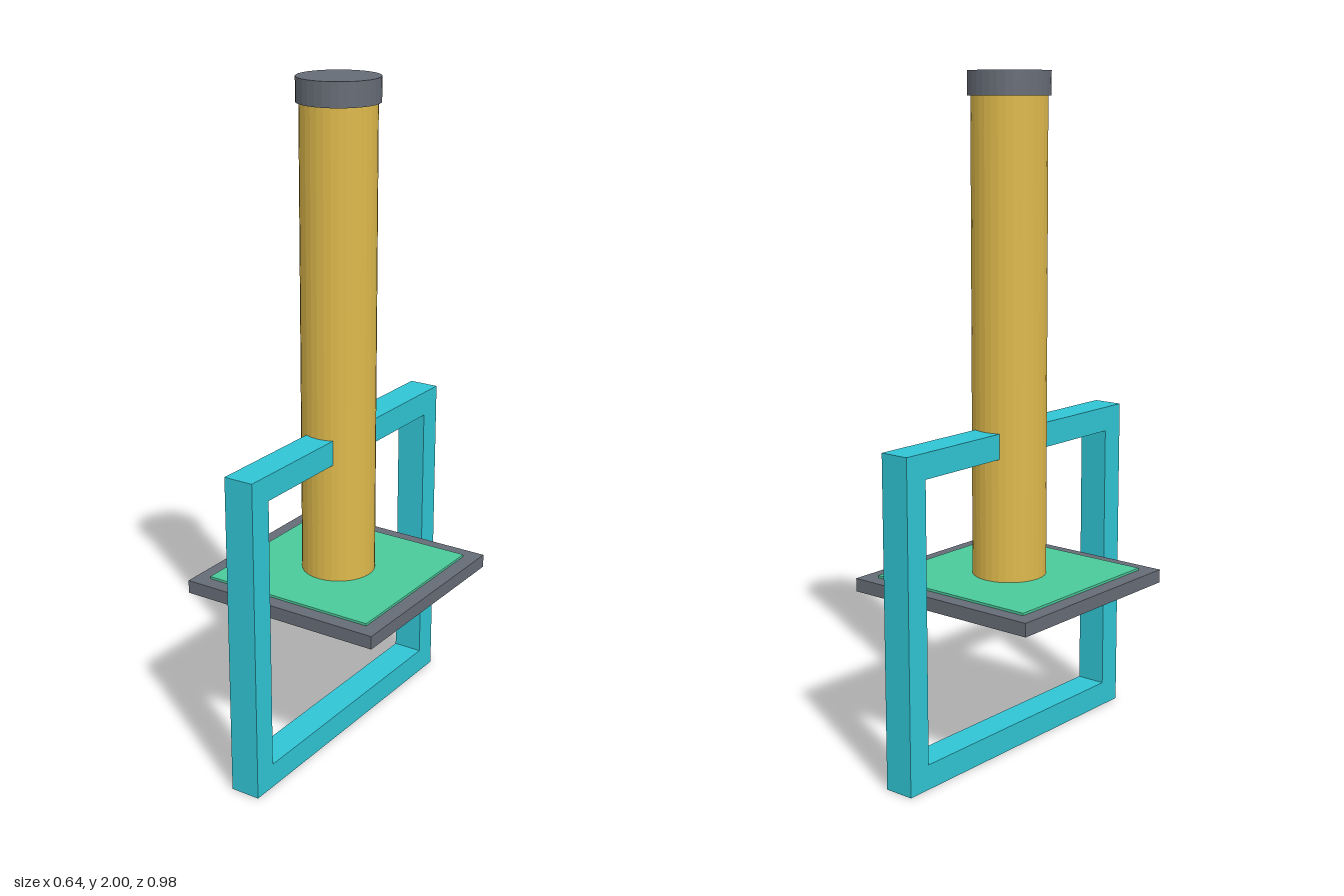
import * as THREE from 'three';

const material = (name, color) => {
  const m = new THREE.MeshStandardMaterial({ color });
  m.name = name;
  return m;
};

export function createModel() {
  const group = new THREE.Group();
  const gold = material('gold', 0xdeb94c);
  const grey = material('slate grey', 0x666c76);
  const green = material('green', 0x4bca9b);
  const cyan = material('cyan', 0x30c5d5);

  const add = (name, geometry, mat, x, y, z) => {
    const mesh = new THREE.Mesh(geometry, mat);
    mesh.name = name;
    mesh.position.set(x, y, z);
    group.add(mesh);
  };
  // Box spanning y0..y1 and z0..z1, centred on x
  const box = (name, mat, w, y0, y1, z0, z1) =>
    add(name, new THREE.BoxGeometry(w, y1 - y0, z1 - z0), mat, 0, (y0 + y1) / 2, (z0 + z1) / 2);
  // Upright faceted cylinder spanning y0..y1
  const post = (name, mat, r, y0, y1) =>
    add(name, new THREE.CylinderGeometry(r, r, y1 - y0, 32).toNonIndexed(), mat, 0, (y0 + y1) / 2, 0);
  const facet = (mesh) => mesh.geometry.computeVertexNormals();

  // Column and its end cap
  post('column', gold, 0.11, 0.5, 1.95);
  post('endCap', grey, 0.119, 1.93, 2);
  group.children.forEach(facet);

  // Square plate with a thin green inlay
  box('plate', grey, 0.644, 0.49, 0.53, -0.322, 0.322);
  box('inlay', green, 0.552, 0.53, 0.537, -0.276, 0.276);

  // Square frame, open at the top where it meets the column
  const w = 0.092, t = 0.075, half = 0.49, top = 0.98;
  box('frameBottom', cyan, w, 0, t, -half, half);
  for (const [side, s] of [['front', 1], ['back', -1]]) {
    const span = (a, b) => (s > 0 ? [a, b] : [-b, -a]);
    box(side + 'Upright', cyan, w, t, top - t, ...span(half - t, half));
    box(side + 'TopArm', cyan, w, top - t, top, ...span(0.095, half));
  }
  return group;
}
